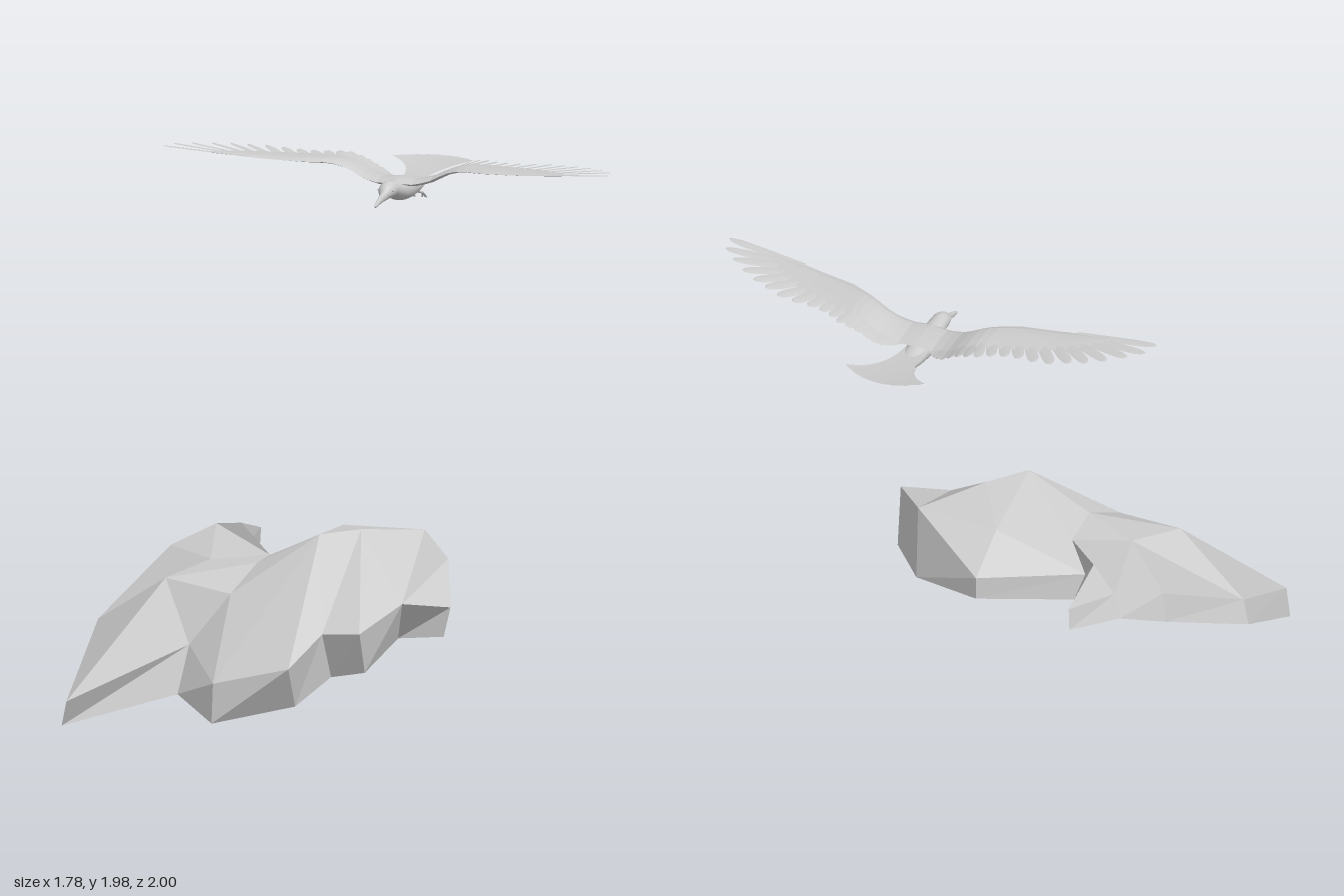
import * as THREE from 'three';
import { mergeVertices } from 'three/addons/utils/BufferGeometryUtils.js';

const smooth = new THREE.MeshStandardMaterial({ color: 0xcccccc });
const faceted = new THREE.MeshStandardMaterial({ color: 0xcccccc, flatShading: true, side: THREE.DoubleSide });
const thin = new THREE.MeshStandardMaterial({ color: 0xcccccc, side: THREE.DoubleSide });
const TAU = Math.PI * 2;

function mesh(name, geometry, material) {
  const m = new THREE.Mesh(geometry, material);
  m.name = name;
  return m;
}

// Surface from a rule fn(u, v) -> [x, y, z], welded along its seams
function surface(nu, nv, fn) {
  const pos = [], index = [];
  for (let i = 0; i <= nv; i++)
    for (let j = 0; j <= nu; j++) pos.push(...fn(j / nu, i / nv));
  for (let i = 0; i < nv; i++)
    for (let j = 0; j < nu; j++) {
      const a = i * (nu + 1) + j, c = a + nu + 1;
      index.push(a, c, a + 1, a + 1, c, c + 1);
    }
  let g = new THREE.BufferGeometry();
  g.setAttribute('position', new THREE.Float32BufferAttribute(pos, 3));
  g.setIndex(index);
  g = mergeVertices(g, 1e-5);
  g.computeVertexNormals();
  return g;
}

const curve = (points) =>
  new THREE.CatmullRomCurve3(points.map(([x, y, z = 0]) => new THREE.Vector3(x, y, z)));

// Elliptical rings [z, centre y, half width, half height] joined front to back
function ringBody(rings, steps) {
  const centre = curve(rings.map(([z, y]) => [0, y, z]));
  const size = curve(rings.map(([, , w, h]) => [w, h]));
  return surface(20, steps, (u, v) => {
    const c = centre.getPoint(v), s = size.getPoint(v), a = u * TAU;
    return [Math.cos(a) * s.x, c.y + Math.sin(a) * s.y, c.z];
  });
}

// Piecewise linear lookup in a list of [x, value]
function lookup(table, x) {
  let i = 1;
  while (i < table.length - 1 && x > table[i][0]) i++;
  const [x0, y0] = table[i - 1], [x1, y1] = table[i];
  return THREE.MathUtils.lerp(y0, y1, THREE.MathUtils.clamp((x - x0) / (x1 - x0), 0, 1));
}

// Rock rim corners [x, y, z, skirt drop, skirt shift x, skirt shift z]
const rim = [
  [-0.43, 0.58, -0.23, 0.08, -0.01, -0.015], [-0.42, 0.64, 0.01, 0.12, 0, 0.02], [-0.33, 0.51, 0.125, 0.1, 0.03, -0.035],
  [-0.02, 0.58, -0.18, 0.09, 0, 0], [0.33, 0.67, 0.05, 0.24, -0.04, -0.1],
  [0.5, 0.605, 0.255, 0.2, -0.03, -0.09], [0.585, 0.46, 0.46, 0.11, -0.02, 0.02],
  [0.41, 0.47, 0.51, 0.15, -0.05, -0.09], [0.335, 0.395, 0.77, 0.16, -0.005, -0.07], [0.185, 0.385, 0.77, 0.175, 0.01, -0.07],
  [0.12, 0.28, 0.96, 0.16, -0.01, -0.1], [-0.175, 0.21, 0.98, 0.15, 0, 0.015],
  [-0.37, 0.3, 0.71, 0.165, 0.005, 0.14], [-0.77, 0.1, 0.96, 0.1, -0.03, -0.03],
  [-0.82, 0.33, 0.48, 0.09, -0.03, -0.02], [-0.68, 0.55, 0.07, 0.11, -0.02, -0.02],
  [-0.56, 0.61, -0.1, 0.09, -0.03, -0.02],
];
// Corners 17 to 24, inside the rim
const inner = [
  [0.05, 0.7, 0.43], [0.16, 0.7, 0.28], [0, 0.665, 0.04], [-0.2, 0.575, 0.435],
  [-0.24, 0.485, 0.615], [-0.52, 0.52, 0.56], [-0.42, 0.56, 0.345], [-0.22, 0.57, 0.24],
];
const facets = [
  16, 0, 1, 16, 1, 24, 1, 2, 24, 16, 24, 23, 15, 16, 23, 15, 23, 14, 14, 23, 22, 14, 22, 13,
  22, 12, 13, 22, 21, 12, 22, 23, 20, 22, 20, 21, 23, 24, 20, 21, 11, 12, 21, 17, 11, 20, 17, 21,
  17, 10, 11, 24, 17, 20, 24, 19, 17, 2, 3, 19, 2, 19, 24, 3, 4, 19, 19, 4, 18, 19, 18, 17,
  17, 18, 9, 17, 9, 10, 18, 8, 9, 18, 7, 8, 18, 4, 7, 4, 5, 7, 5, 6, 7,
];

// Rock shell: faceted top and a skirt around it, open underneath
function rockGeometry() {
  const top = [...rim.map((p) => p.slice(0, 3)), ...inner];
  const foot = rim.map(([x, y, z, drop, dx, dz]) => [x + dx, y - drop, z + dz]);
  const pos = [];
  const tri = (a, b, c) => pos.push(...a, ...b, ...c);
  for (let i = 0; i < facets.length; i += 3) {
    const [p, q, r] = facets.slice(i, i + 3).map((k) => top[k]);
    const up = (q[2] - p[2]) * (r[0] - p[0]) - (q[0] - p[0]) * (r[2] - p[2]);
    if (up > 0) tri(p, q, r);
    else tri(p, r, q);
  }
  for (let i = 0; i < rim.length; i++) {
    const j = (i + 1) % rim.length;
    tri(top[i], top[j], foot[j]);
    tri(top[i], foot[j], foot[i]);
  }
  const g = new THREE.BufferGeometry();
  g.setAttribute('position', new THREE.Float32BufferAttribute(pos, 3));
  g.computeVertexNormals();
  return g;
}

// Wing outlines as [x, value]
const wingHeight = [[0, 1.876], [0.08, 1.872], [0.14, 1.89], [0.2, 1.921], [0.26, 1.938], [0.5, 1.947], [0.89, 1.974]];
const leading = [[0, -0.5], [0.08, -0.51], [0.19, -0.525], [0.27, -0.5], [0.35, -0.467], [0.56, -0.437], [0.89, -0.42]];
const covertEdge = [[0, -0.67], [0.19, -0.685], [0.35, -0.645], [0.5, -0.6], [0.62, -0.535], [0.7, -0.46]];
const featherTips = curve([[0.08, -0.69], [0.13, -0.735], [0.2, -0.742], [0.28, -0.74], [0.36, -0.7], [0.45, -0.685],
  [0.55, -0.685], [0.64, -0.65], [0.72, -0.615], [0.8, -0.555], [0.87, -0.497], [0.89, -0.422]]);
const featherRoots = curve([[0.07, -0.6], [0.11, -0.6], [0.17, -0.6], [0.23, -0.59], [0.3, -0.56], [0.36, -0.53],
  [0.42, -0.51], [0.47, -0.485], [0.51, -0.47], [0.54, -0.46], [0.56, -0.452], [0.57, -0.444]]);

// Blade from root to rounded tip, lying on the wing's height line
function feather(t) {
  const root = featherRoots.getPoint(t), tip = featherTips.getPoint(t);
  const dir = tip.clone().sub(root).normalize();
  const half = THREE.MathUtils.lerp(0.02, 0.025, Math.sin(t * Math.PI));
  return surface(2, 8, (u, v) => {
    const k = 1 - (1 - v) ** 1.5;
    const w = (u - 0.5) * 2 * half * Math.sqrt(Math.max(0, 1 - k ** 8)) * (0.75 + 0.25 * k);
    const x = root.x + (tip.x - root.x) * k - dir.y * w;
    const z = root.y + (tip.y - root.y) * k + dir.x * w;
    const crown = 0.003 * (1 - Math.abs(u - 0.5) * 2);
    return [x, lookup(wingHeight, x) + crown + w * 0.12, z];
  });
}

function wing(name) {
  const g = new THREE.Group();
  g.name = name;
  // Thick front arm tapering into the thin covert layer
  g.add(mesh('wingArm', surface(12, 20, (u, v) => {
    const x = v * 0.7;
    const c = 1 - Math.abs(1 - 2 * u);
    const thick = 0.04 * (1 - 0.75 * v) * Math.sqrt(c) * (1 - c);
    const y = lookup(wingHeight, x) + (u < 0.5 ? thick : -thick * 0.8);
    return [x, y, THREE.MathUtils.lerp(lookup(leading, x), lookup(covertEdge, x), c)];
  }), faceted));
  const n = 20;
  for (let i = 0; i < n; i++) {
    const s = i / (n - 1);
    g.add(mesh('flightFeather', feather(0.45 * s + 0.55 * s * s), thin));
  }
  return g;
}

function tube(points, radius) {
  return new THREE.TubeGeometry(curve(points), 6, radius, 6);
}

function bird() {
  const g = new THREE.Group();
  g.name = 'bird';
  g.add(mesh('body', ringBody([
    [-0.385, 1.845, 0.01, 0.012], [-0.41, 1.856, 0.026, 0.027], [-0.44, 1.861, 0.034, 0.032],
    [-0.47, 1.86, 0.035, 0.032], [-0.505, 1.852, 0.041, 0.036], [-0.55, 1.844, 0.048, 0.042],
    [-0.6, 1.84, 0.05, 0.043], [-0.66, 1.838, 0.047, 0.038], [-0.71, 1.836, 0.042, 0.028],
    [-0.76, 1.842, 0.036, 0.017], [-0.82, 1.859, 0.022, 0.009], [-0.87, 1.873, 0.002, 0.001],
  ], 36), smooth));
  g.add(mesh('beak', ringBody([
    [-0.302, 1.821, 0.001, 0.001], [-0.308, 1.822, 0.005, 0.007], [-0.34, 1.831, 0.008, 0.011],
    [-0.375, 1.84, 0.011, 0.016], [-0.41, 1.849, 0.02, 0.022],
  ], 12), smooth));
  // Fan-shaped tail with a rounded end and shallow pleats
  g.add(mesh('tail', surface(16, 12, (u, v) => {
    const s = u * 2 - 1;
    const pleat = 0.001 * v * Math.cos(u * 8 * TAU);
    return [s * (0.044 + 0.121 * v ** 2.3), 1.857 + 0.04 * v ** 1.4 + pleat, -0.66 - 0.34 * v + 0.07 * s * s * v ** 3];
  }), thin));
  const left = wing('leftWing'), right = wing('rightWing');
  right.scale.x = -1;
  g.add(left, right);
  for (const s of [-1, 1]) {
    const eye = mesh('eye', new THREE.SphereGeometry(0.006, 10, 8), smooth);
    eye.position.set(s * 0.027, 1.864, -0.42);
    g.add(eye);
    // Leg trailing back with spread toes
    g.add(mesh('leg', tube([[s * 0.02, 1.825, -0.68], [s * 0.022, 1.807, -0.72], [s * 0.023, 1.798, -0.755]], 0.005), smooth));
    for (const k of [-1, 0, 1])
      g.add(mesh('toe', tube([[s * 0.023, 1.8, -0.752], [s * 0.023 + k * 0.005, 1.79, -0.765],
        [s * 0.023 + k * 0.009, 1.777, -0.782 + Math.abs(k) * 0.006]], 0.003), smooth));
  }
  return g;
}

export function createModel() {
  const model = new THREE.Group();
  model.name = 'birdOverRock';
  model.add(mesh('rock', rockGeometry(), faceted), bird());
  return model;
}
